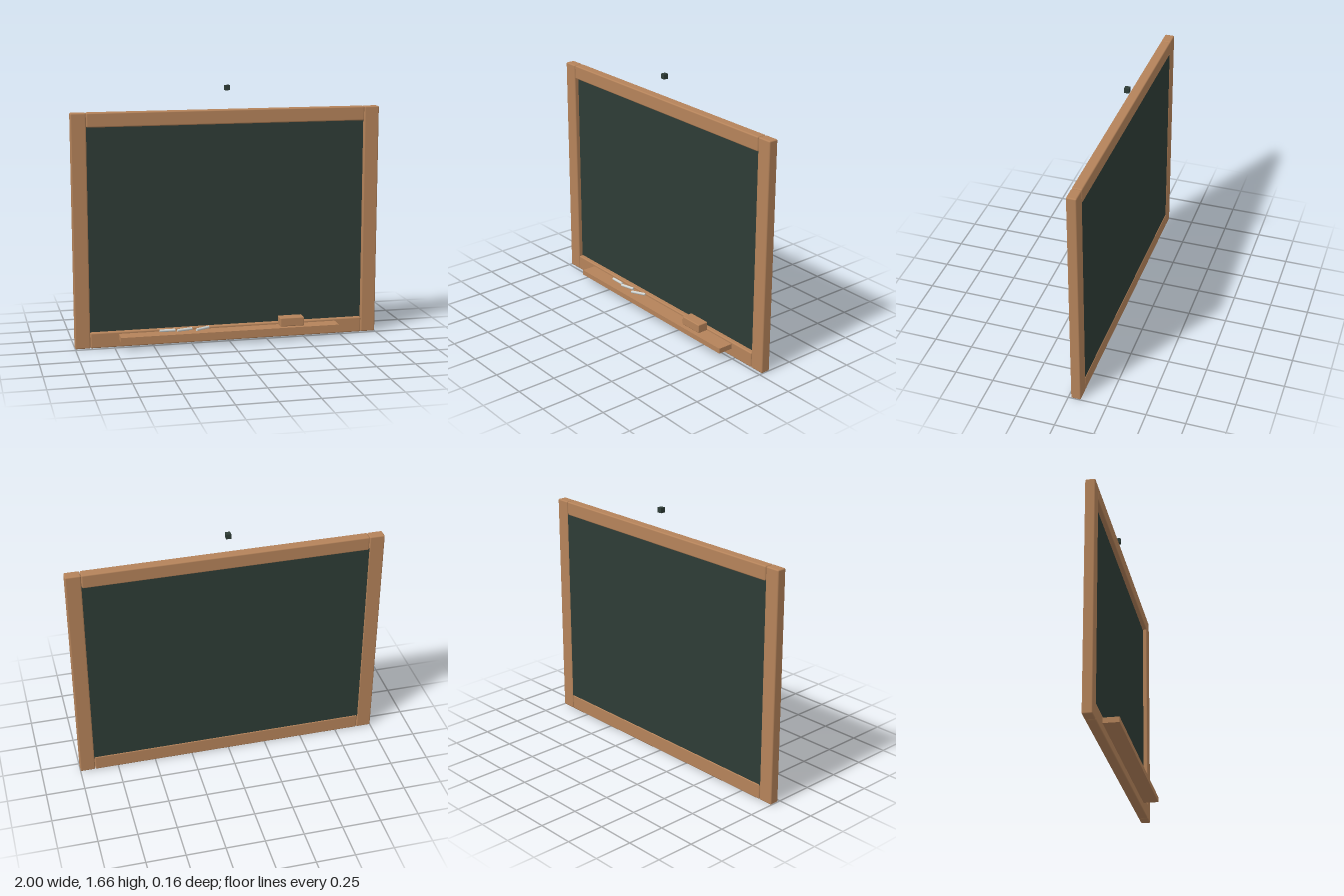
import * as THREE from 'three';
import { RoundedBoxGeometry } from 'three/addons/geometries/RoundedBoxGeometry.js';

export function createModel() {
  const model = new THREE.Group();
  model.name = 'chalkboard';

  const material = (name, color) => {
    const m = new THREE.MeshStandardMaterial({ color });
    m.name = name;
    return m;
  };
  const wood = material('wood', 0xb5835a);
  const slate = material('slate', 0x2e3c36);
  const chalkWhite = material('chalk', 0xd0d4d2);

  // Adds a box between two corners, with rounded edges if a radius is given
  function addBox(name, mat, [x0, y0, z0], [x1, y1, z1], radius = 0) {
    const size = [x1 - x0, y1 - y0, z1 - z0];
    const geometry = radius
      ? new RoundedBoxGeometry(...size, 2, radius)
      : new THREE.BoxGeometry(...size);
    const mesh = new THREE.Mesh(geometry, mat);
    mesh.name = name;
    mesh.position.set((x0 + x1) / 2, (y0 + y1) / 2, (z0 + z1) / 2);
    model.add(mesh);
    return mesh;
  }

  // Frame: two stiles and two rails
  const back = -0.081, front = -0.018, top = 1.506;
  addBox('leftStile', wood, [0.903, 0, back], [1, top, front], 0.008);
  addBox('rightStile', wood, [-1, 0, back], [-0.903, top, front], 0.008);
  addBox('topRail', wood, [-0.901, 1.415, back], [0.901, top, front], 0.008);
  addBox('bottomRail', wood, [-0.901, 0, back], [0.901, 0.1, front], 0.008);

  // Writing panel, set nearer the back of the frame
  addBox('writingPanel', slate, [-0.91, 0.09, -0.077], [0.91, 1.425, -0.047]);

  // Small block floating above the board
  addBox('topBlock', slate, [-0.016, 1.626, -0.078], [0.016, 1.658, -0.046]);

  // Chalk tray and eraser
  addBox('tray', wood, [-0.72, 0.052, -0.025], [0.72, 0.086, 0.081]);
  addBox('eraser', wood, [0.33, 0.087, -0.02], [0.49, 0.145, 0.055], 0.006);

  // Chalk sticks: x, z, turn about the vertical
  [[-0.41, 0.012, 0], [-0.298, 0.014, 0.25], [-0.18, 0.014, 0.48]].forEach(([x, z, turn], i) => {
    const stick = new THREE.Group();
    stick.name = `chalk${i + 1}`;
    const body = new THREE.Mesh(new THREE.CylinderGeometry(0.009, 0.009, 0.1, 12), chalkWhite);
    body.name = 'chalkBody';
    body.rotation.z = Math.PI / 2;
    stick.add(body);
    stick.position.set(x, 0.098, z);
    stick.rotation.y = turn;
    model.add(stick);
  });

  return model;
}
